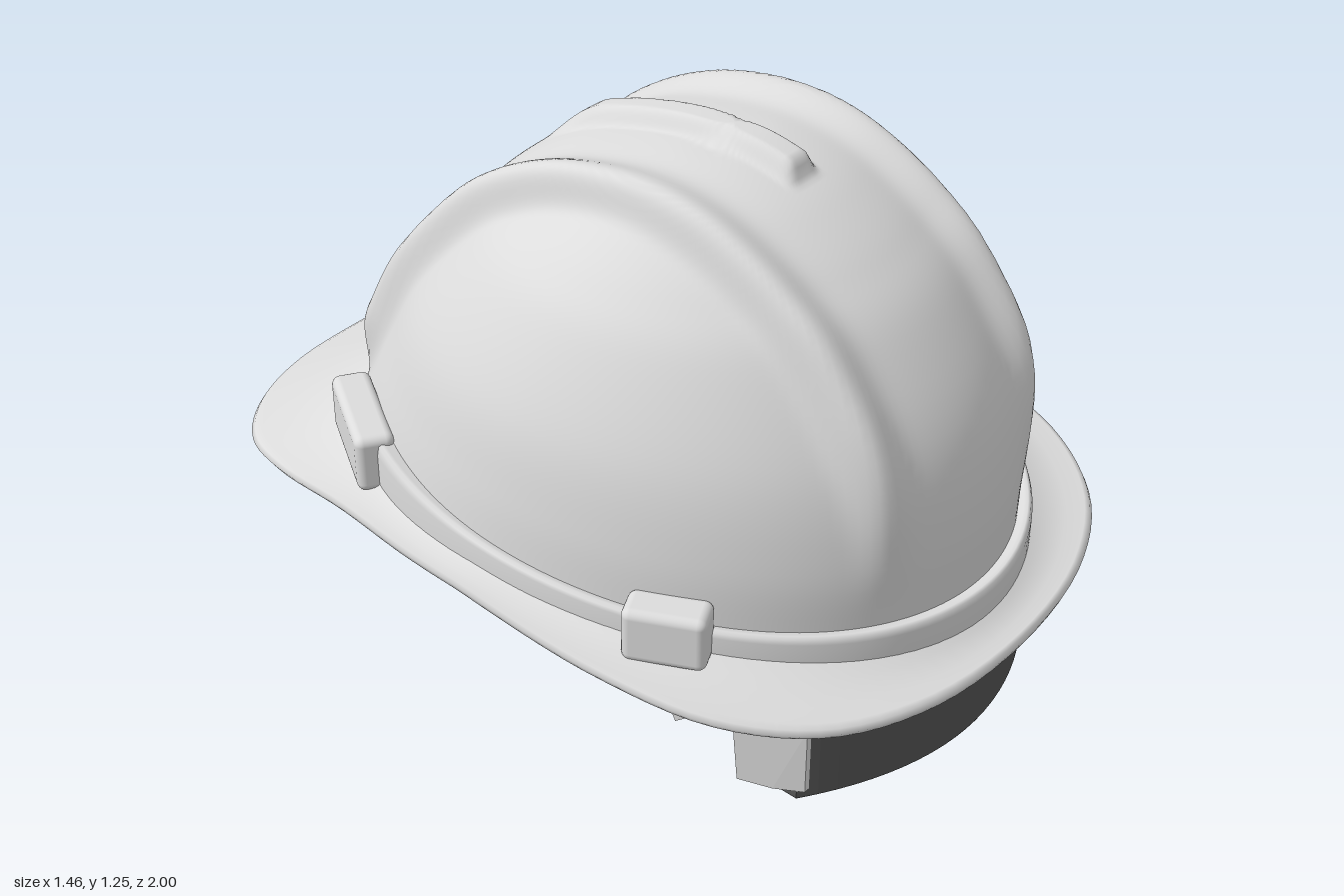
import * as THREE from 'three';
import { mergeVertices } from 'three/addons/utils/BufferGeometryUtils.js';
import { RoundedBoxGeometry } from 'three/addons/geometries/RoundedBoxGeometry.js';

const { smoothstep, lerp } = THREE.MathUtils;
const V = (x, y, z) => new THREE.Vector3(x, y, z);
const CZ = 0.09; // centre of the dome in z

const shellMat = new THREE.MeshStandardMaterial({ color: 0xdcdcdc, side: THREE.DoubleSide });
shellMat.name = 'lightGreyPlastic';
const padMat = new THREE.MeshStandardMaterial({ color: 0x565656, side: THREE.DoubleSide });
padMat.name = 'darkGreyPad';

// Smooth surface from a function of (u, v), both 0..1
function sheet(fn, nu, nv) {
  const pos = [], index = [];
  for (let j = 0; j <= nv; j++) {
    for (let i = 0; i <= nu; i++) pos.push(...fn((i % nu) / nu, j / nv).toArray());
  }
  for (let j = 0; j < nv; j++) {
    for (let i = 0; i < nu; i++) {
      const a = j * (nu + 1) + i, b = a + 1, c = a + nu + 1, d = c + 1;
      index.push(a, c, b, b, c, d);
    }
  }
  let g = new THREE.BufferGeometry();
  g.setAttribute('position', new THREE.Float32BufferAttribute(pos, 3));
  g.setIndex(index);
  g = mergeVertices(g, 1e-4);
  g.computeVertexNormals();
  return g;
}

// Dome sections: [height, front z, back z, half width]
const rows = [
  [0.36, 0.885, -0.72, 0.645], [0.55, 0.88, -0.635, 0.63], [0.75, 0.82, -0.53, 0.595],
  [0.95, 0.69, -0.37, 0.51], [1.05, 0.58, -0.26, 0.435], [1.12, 0.47, -0.14, 0.345],
  [1.16, 0.38, -0.02, 0.25], [1.184, 0.285, 0.1, 0.13], [1.19, 0.2, 0.2, 0],
];
const frontCurve = new THREE.CatmullRomCurve3(rows.map(r => V(r[3], r[0], r[1])), false, 'catmullrom');
const backCurve = new THREE.CatmullRomCurve3(rows.map(r => V(r[3], r[0], r[2])), false, 'catmullrom');

// Height of the brim edge, and of the line where brim meets dome
const edgeY = z => z > 0.05
  ? 0.4 - 0.12 * ((z - 0.05) / 0.95) ** 1.2
  : 0.4 - 0.12 * ((0.05 - z) / 1.05) ** 1.6;
const rootY = z => edgeY(z) + 0.045 + 0.06 * smoothstep(-z, 0.2, 0.72);
const rootPoint = a => {
  const z = CZ + 0.805 * Math.sin(a);
  return V(0.645 * Math.cos(a), rootY(z), z);
};

// Raised centre panel with two long ribs and a short middle rib
function relief(x, y, z) {
  const ax = Math.abs(x);
  const panel = 0.027 * (1 - smoothstep(ax, 0.26, 0.33));
  const ribs = 0.048 * Math.exp(-(((ax - 0.25) / 0.045) ** 2));
  const middle = 0.038 * (1 - smoothstep(ax, 0.02, 0.055))
    * smoothstep(z, -0.3, -0.12) * (1 - smoothstep(z, 0.35, 0.39));
  const fade = z > 0.2 ? smoothstep(y, 0.45, 0.85) : smoothstep(y, 0.38, 0.6);
  return (panel + ribs + middle) * fade;
}

function domePoint(u, t, inset) {
  const a = u * Math.PI * 2, s = Math.sin(a);
  const f = frontCurve.getPoint(t), b = backCurve.getPoint(t);
  const p = V(f.x * Math.cos(a), f.y, (f.z + b.z) / 2 + (f.z - b.z) / 2 * s);
  p.y += (rootY(CZ + 0.805 * s) - 0.36) * (1 - t) ** 4;
  const n = V(p.x / 0.42, (p.y - 0.36) / 0.7, (p.z - CZ) / 0.65).normalize();
  return p.addScaledVector(n, relief(p.x, p.y, p.z) - inset);
}

// Brim: plan outline of one half, mirrored into a closed loop
const half = [[0.22, -0.985], [0.41, -0.91], [0.55, -0.78], [0.615, -0.62], [0.655, -0.38], [0.71, -0.1],
  [0.73, 0.15], [0.72, 0.43], [0.66, 0.68], [0.52, 0.86], [0.3, 0.965]];
const outline = new THREE.CatmullRomCurve3([
  V(0, 0, -1), ...half.map(p => V(p[0], 0, p[1])),
  V(0, 0, 1), ...half.slice().reverse().map(p => V(-p[0], 0, p[1])),
], true);
// Brim section: [fraction from dome to edge, height offset]
const brimSection = [[0, 0.005], [0.3, -0.006], [0.65, -0.003], [0.9, 0.012], [0.97, 0.01], [1, 0],
  [0.97, -0.012], [0.85, -0.016], [0.5, -0.025], [0, -0.03], [-1, -0.02]];

function brimPoint(u, v) {
  const [s, dy] = brimSection[Math.round(v * (brimSection.length - 1))];
  const e = outline.getPoint(u);
  const r = rootPoint(Math.atan2((e.z - CZ) / 0.86, e.x / 0.7));
  if (s < 0) return V(r.x * 0.95, r.y + dy, CZ + (r.z - CZ) * 0.95);
  return V(lerp(r.x, e.x, s), lerp(r.y, edgeY(e.z), s) + dy, lerp(r.z, e.z, s));
}

// Rain gutter wall around the front and sides, dying out toward the visor
function gutterPoint(u, v) {
  const a = u * Math.PI * 2, p = rootPoint(a);
  const k = smoothstep(p.z, -0.6, -0.4);
  const top = lerp(p.y, 0.4 + 0.1 * (0.9 - p.z), k);
  const [off, y] = [[0.024, p.y - 0.02], [0.024, lerp(p.y, top, 0.7)], [0.02, top - 0.004],
    [0.013, top], [0.004, top - 0.003], [-0.03, top - 0.012]][Math.round(v * 5)];
  return V(p.x + off * k * Math.cos(a), y, p.z + off * k * Math.sin(a));
}

// Curved brow pad, extruded from its plan
function padGeometry() {
  const arc = (off, dir) => Array.from({ length: 25 }, (_, i) => {
    const x = dir * (i / 12 - 1) * 0.44;
    return new THREE.Vector2(x, 0.9 - off - 0.16 * (x / 0.44) ** 2);
  });
  const shape = new THREE.Shape([...arc(0, 1), ...arc(0.035, -1)]);
  const g = new THREE.ExtrudeGeometry(shape, { depth: 0.22, bevelEnabled: true, bevelSize: 0.008, bevelThickness: 0.008, bevelSegments: 2 });
  return g.rotateX(Math.PI / 2).translate(0, 0.232, 0);
}

// Hanger arm: flat outline in (z, y), bent to follow the head
function hangerGeometry(side) {
  const pts = [[0.76, 0.03], [0.7, 0.03], [0.63, 0.04], [0.62, 0.18], [0.56, 0.2], [0.5, 0.16], [0.47, 0.24],
    [0.44, 0.37], [0.54, 0.37], [0.65, 0.36], [0.66, 0.25], [0.7, 0.21], [0.76, 0.2]];
  const shape = new THREE.Shape(pts.map(p => new THREE.Vector2(...p)));
  shape.holes.push(new THREE.Path([[0.5, 0.25], [0.55, 0.27], [0.49, 0.31]].map(p => new THREE.Vector2(...p))));
  const g = new THREE.ExtrudeGeometry(shape, { depth: 0.022, bevelEnabled: false });
  const p = g.attributes.position;
  for (let i = 0; i < p.count; i++) {
    const z = p.getX(i), y = p.getY(i);
    const x = 0.595 * Math.sqrt(1 - ((z - 0.1) / 0.95) ** 2) + p.getZ(i) - 0.01;
    p.setXYZ(i, side * x, y, z);
  }
  if (side > 0) { // keep faces pointing outward after the axis swap
    for (let i = 0; i < p.count; i += 3) {
      const a = V().fromBufferAttribute(p, i), b = V().fromBufferAttribute(p, i + 1);
      p.setXYZ(i, b.x, b.y, b.z);
      p.setXYZ(i + 1, a.x, a.y, a.z);
    }
  }
  g.computeVertexNormals();
  return g;
}

export function createModel() {
  const model = new THREE.Group();
  model.name = 'hardHat';
  const add = (name, geometry, material = shellMat) => {
    const m = new THREE.Mesh(geometry, material);
    m.name = name;
    model.add(m);
    return m;
  };

  add('outerShell', sheet((u, v) => domePoint(u, v, 0), 220, 56));
  add('innerShell', sheet((u, v) => domePoint(u, v, 0.03), 160, 40));
  add('brim', sheet(brimPoint, 128, brimSection.length - 1));
  add('rainGutter', sheet(gutterPoint, 128, 5));
  add('browPad', padGeometry(), padMat);

  for (const side of [1, -1]) {
    const tag = side > 0 ? 'left' : 'right';
    // Accessory slots beside the dome
    const front = add(tag + 'FrontSlot', new RoundedBoxGeometry(0.09, 0.13, 0.18, 3, 0.02));
    front.position.set(side * 0.585, 0.43, 0.505);
    front.rotation.y = -side * 0.43;
    const rear = add(tag + 'RearSlot', new RoundedBoxGeometry(0.09, 0.14, 0.29, 3, 0.02));
    rear.position.set(side * 0.505, 0.468, -0.44);
    rear.rotation.y = side * 0.58;
    // Suspension parts under the brim
    add(tag + 'Hanger', hangerGeometry(side));
    const clip = add(tag + 'Clip', new RoundedBoxGeometry(0.05, 0.05, 0.09, 2, 0.018));
    clip.position.set(side * 0.62, 0.39, 0.03);
  }
  return model;
}
